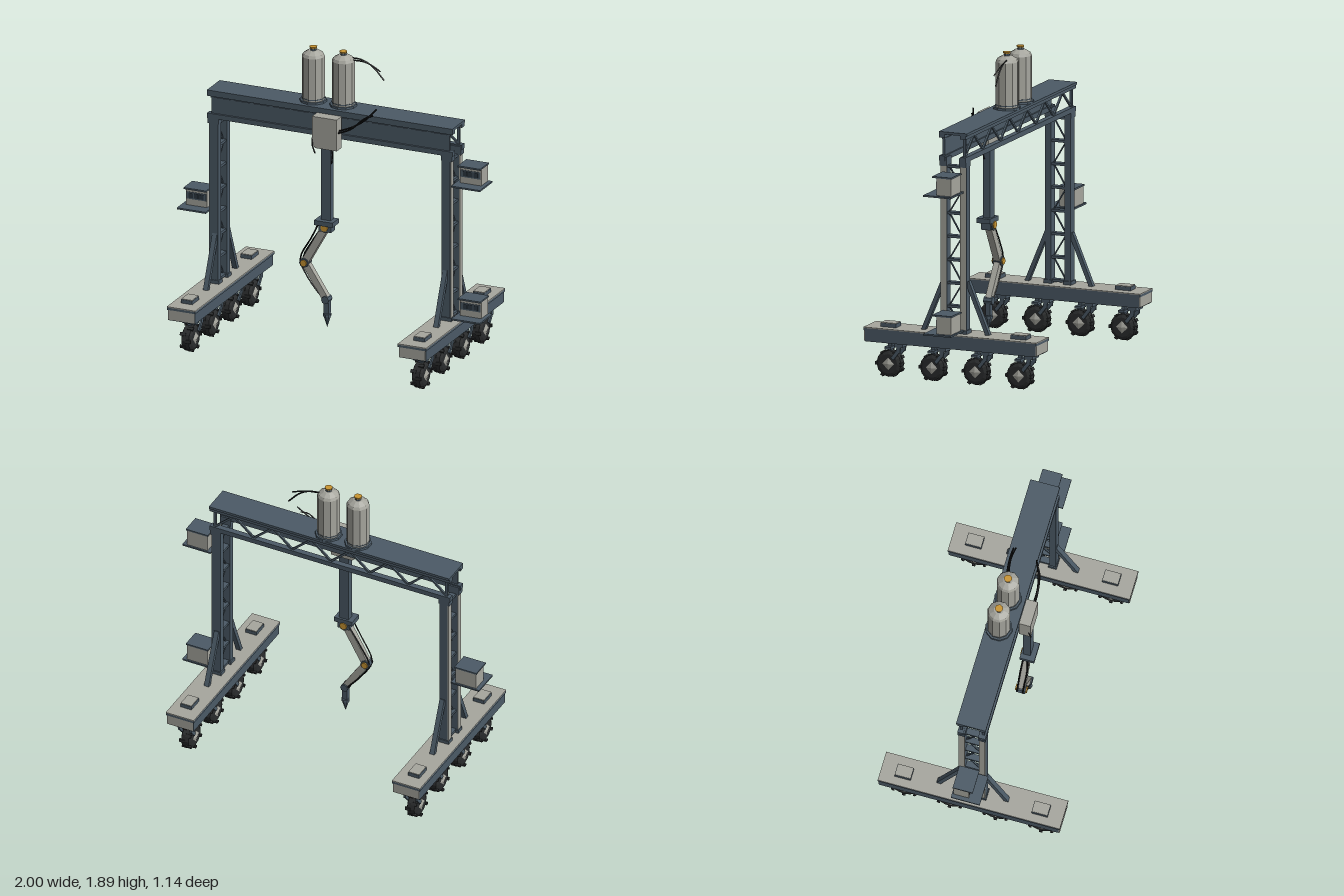
import * as THREE from 'three';

const paint = (name, color) => Object.assign(new THREE.MeshStandardMaterial({ color, flatShading: true }), { name });

export function createModel() {
  const model = new THREE.Group();
  model.name = 'gantryCrane';
  const slate = paint('slate steel', 0x4b5a66);
  const gray = paint('light gray panel', 0xa6a69e);
  const rubber = paint('dark rubber', 0x2a2c2d);
  const black = paint('black cable', 0x141516);
  const amber = paint('amber cap', 0xc99532);
  const glass = paint('dark window', 0x2c3841);

  const add = (parent, name, geo, mat, x = 0, y = 0, z = 0) => {
    const m = new THREE.Mesh(geo, mat);
    m.name = name;
    m.position.set(x, y, z);
    parent.add(m);
    return m;
  };
  // Box given by its extents on each axis
  const box = (parent, name, mat, [x0, x1], [y0, y1], [z0, z1]) =>
    add(parent, name, new THREE.BoxGeometry(Math.abs(x1 - x0), y1 - y0, z1 - z0), mat,
      (x0 + x1) / 2, (y0 + y1) / 2, (z0 + z1) / 2);
  // Straight bar between two points
  const bar = (parent, name, mat, a, b, w, d = w) => {
    const p = new THREE.Vector3(...a), q = new THREE.Vector3(...b);
    const dir = q.clone().sub(p);
    const mid = p.clone().add(q).multiplyScalar(0.5);
    const m = add(parent, name, new THREE.BoxGeometry(w, dir.length(), d), mat, mid.x, mid.y, mid.z);
    m.quaternion.setFromUnitVectors(new THREE.Vector3(0, 1, 0), dir.normalize());
    return m;
  };
  const cable = (parent, name, pts, r = 0.005) => add(parent, name, new THREE.TubeGeometry(
    new THREE.CatmullRomCurve3(pts.map(p => new THREE.Vector3(...p))), 14, r, 4), black);
  const group = (name, x = 0, y = 0, z = 0) => {
    const g = new THREE.Group();
    g.name = name;
    g.position.set(x, y, z);
    model.add(g);
    return g;
  };

  // Wheel: bevelled tyre, tread lugs and pyramid hubs, axle along x
  const tyreGeo = new THREE.LatheGeometry([[0, -0.034], [0.06, -0.034], [0.081, -0.024],
    [0.081, 0.024], [0.06, 0.034], [0, 0.034]].map(p => new THREE.Vector2(...p)), 12).rotateZ(-Math.PI / 2);
  const hubGeo = new THREE.ConeGeometry(0.046, 0.012, 4);
  const addWheel = (x, z) => {
    const w = group('wheel', x, 0.086, z);
    add(w, 'tyre', tyreGeo, rubber);
    for (let i = 0; i < 12; i++) {
      const a = (i / 12) * Math.PI * 2;
      const lug = add(w, 'treadLug', new THREE.BoxGeometry(0.036, 0.012, 0.02), rubber,
        i % 2 ? 0.019 : -0.019, Math.cos(a) * 0.079, Math.sin(a) * 0.079);
      lug.rotation.x = a;
    }
    for (const s of [-1, 1]) {
      add(w, 'hub', hubGeo, gray, s * 0.038).rotation.z = -s * Math.PI / 2;
    }
    // Suspension: short post over the wheel and a trailing bent arm
    box(w, 'suspensionPost', slate, [-0.012, 0.012], [0.07, 0.145], [-0.012, 0.012]);
    box(w, 'suspensionYoke', slate, [-0.045, 0.045], [0.09, 0.106], [-0.02, 0.02]);
    for (const s of [-0.04, 0.04]) {
      bar(w, 'suspensionArm', slate, [s, 0.035, -0.03], [s, 0.085, -0.07], 0.012, 0.022);
      bar(w, 'suspensionArm', slate, [s, 0.075, -0.068], [s, 0.125, -0.075], 0.012, 0.026);
    }
    box(w, 'suspensionMount', slate, [-0.05, 0.05], [0.11, 0.142], [-0.1, -0.045]);
  };

  // Both towers, mirrored across x = 0
  for (const s of [1, -1]) {
    const t = group(s > 0 ? 'leftTower' : 'rightTower');
    const X = (a, b) => [s * a, s * b];
    box(t, 'baseBeam', slate, X(0.673, 0.851), [0.225, 0.295], [-0.56, 0.56]);
    box(t, 'baseRim', slate, X(0.668, 0.856), [0.293, 0.307], [-0.568, 0.568]);
    box(t, 'baseDeck', gray, X(0.668, 0.856), [0.307, 0.313], [-0.568, 0.568]);
    for (const e of [-1, 1]) {
      box(t, 'baseEndPanel', gray, X(0.675, 0.849), [0.23, 0.293], [e * 0.563 - 0.003, e * 0.563 + 0.003]);
      const z = e * 0.427;
      box(t, 'deckHatch', slate, X(0.73, 0.805), [0.313, 0.336], [z - 0.05, z + 0.05]);
      box(t, 'deckHatchLid', gray, X(0.732, 0.803), [0.336, 0.34], [z - 0.048, z + 0.048]);
      // Twin columns with pale outer faces
      const c = e > 0 ? 0.067 : -0.061;
      box(t, 'column', slate, X(0.738, 0.794), [0.31, 1.37], [c - 0.02, c + 0.02]);
      box(t, 'columnOuterFace', gray, X(0.794, 0.799), [0.33, 1.335], [c - 0.019, c + 0.019]);
      box(t, 'columnFoot', slate, X(0.73, 0.803), [0.313, 0.335], [c - 0.026, c + 0.026]);
      box(t, 'columnCap', slate, X(0.735, 0.806), [1.335, 1.39], [c - 0.023, c + 0.023]);
      bar(t, 'brace', slate, [s * 0.76, 0.31, e * 0.212], [s * 0.76, 0.63, e * 0.078], 0.031, 0.026);
    }
    // Ladder rungs with zigzag bracing
    for (let i = 0; i < 8; i++) {
      const y = 0.33 + i * 0.143;
      box(t, 'rung', slate, X(0.745, 0.785), [y - 0.008, y + 0.008], [-0.045, 0.05]);
      const d = i % 2 ? 1 : -1;
      if (i < 7) bar(t, 'lacing', slate, [s * 0.765, y, d * 0.043], [s * 0.765, y + 0.143, -d * 0.043], 0.01, 0.007);
    }
    for (let i = 0; i < 4; i++) addWheel(s * 0.761, 0.432 - i * 0.285);
  }

  // Overhead girder: top plate, rails, solid front web and open rear truss
  const beam = group('girder');
  box(beam, 'topPlate', slate, [-0.81, 0.81], [1.53, 1.546], [-0.092, 0.092]);
  for (const z of [0.072, -0.066]) {
    box(beam, 'topRail', slate, [-0.81, 0.81], [1.508, 1.532], [z - 0.018, z + 0.018]);
    box(beam, 'lowerRail', slate, [-0.81, 0.81], [1.367, 1.398], [z - 0.018, z + 0.018]);
  }
  box(beam, 'frontWeb', slate, [-0.785, 0.785], [1.395, 1.5], [0.064, 0.078]);
  for (let i = 0; i <= 12; i++) {
    const x = -0.78 + i * 0.13;
    box(beam, 'webTab', slate, [x - 0.012, x + 0.012], [1.495, 1.512], [0.064, 0.078]);
    if (i < 12) {
      const up = i % 2;
      bar(beam, 'trussDiagonal', slate, [x, up ? 1.51 : 1.395, -0.066], [x + 0.13, up ? 1.395 : 1.51, -0.066], 0.012);
    }
  }
  for (const x of [-0.78, 0.78]) box(beam, 'trussEndPost', slate, [x - 0.008, x + 0.008], [1.39, 1.515], [-0.074, -0.058]);

  // Control cabins on the outside of the towers
  for (const [s, y] of [[1, 1.18], [1, 0.33], [-1, 0.758]]) {
    const c = group('cabin', s * 0.905, y, 0);
    box(c, 'cabinPlatform', slate, [-0.095, 0.095], [0, 0.01], [-0.07, 0.11]);
    box(c, 'cabinBody', gray, [-0.07, 0.07], [0.01, 0.116], [-0.06, 0.035]);
    box(c, 'cabinRoof', slate, [-0.074, 0.074], [0.116, 0.126], [-0.065, 0.06]);
    box(c, 'cabinBand', slate, [-0.066, 0.066], [0.05, 0.095], [0.035, 0.038]);
    for (const x of [-0.035, 0, 0.035]) box(c, 'cabinWindow', glass, [x - 0.014, x + 0.014], [0.058, 0.088], [0.038, 0.041]);
  }

  // Twin storage tanks
  const tankProfile = [[0, 0], [0.07, 0], [0.07, 0.275], [0.062, 0.292], [0.03, 0.312], [0, 0.312]];
  for (const x of [-0.155, 0.043]) {
    const t = group('tank', x, 1.558, -0.012);
    add(t, 'tankFlange', new THREE.CylinderGeometry(0.082, 0.084, 0.014, 10), slate, 0, -0.007, 0);
    add(t, 'tankBody', new THREE.LatheGeometry(tankProfile.map(p => new THREE.Vector2(...p)), 10), gray);
    add(t, 'tankSeam', new THREE.CylinderGeometry(0.072, 0.072, 0.006, 10), slate, 0, 0.012, 0);
    add(t, 'tankNeck', new THREE.CylinderGeometry(0.017, 0.02, 0.02, 8), slate, 0, 0.318, 0);
    add(t, 'tankCap', new THREE.CylinderGeometry(0.025, 0.022, 0.01, 8), amber, 0, 0.33, 0);
  }
  cable(model, 'tankCable', [[0.07, 1.85, -0.03], [0.15, 1.845, -0.04], [0.22, 1.81, -0.045], [0.295, 1.73, -0.05]]);
  cable(model, 'tankCable', [[0.08, 1.84, -0.02], [0.17, 1.835, -0.035], [0.23, 1.815, -0.035], [0.28, 1.79, -0.03]]);

  // Trolley housing with one clipped lower corner
  const trolley = group('trolley');
  const outline = new THREE.Shape([[-0.083, 1.335], [-0.06, 1.315], [0.08, 1.315], [0.08, 1.515], [-0.083, 1.515]]
    .map(p => new THREE.Vector2(...p)));
  add(trolley, 'trolleyHousing', new THREE.ExtrudeGeometry(outline, { depth: 0.072, bevelEnabled: false }), gray, 0, 0, 0.092);
  box(trolley, 'trolleyHanger', slate, [-0.07, 0.07], [1.37, 1.5], [0.07, 0.095]);
  cable(trolley, 'trolleyCable', [[0.07, 1.43, 0.13], [0.17, 1.475, 0.135], [0.24, 1.52, 0.12], [0.31, 1.595, 0.09]]);
  cable(trolley, 'trolleyCable', [[0.07, 1.42, 0.14], [0.16, 1.46, 0.14], [0.25, 1.54, 0.125], [0.29, 1.555, 0.1]]);
  cable(trolley, 'hangingCable', [[-0.08, 1.41, 0.15], [-0.082, 1.34, 0.165], [-0.065, 1.28, 0.16]]);
  cable(trolley, 'hangingCable', [[0.04, 1.34, 0.15], [0.045, 1.28, 0.15], [0.035, 1.22, 0.14]], 0.004);

  // Manipulator arm: mast, shoulder, elbow, wrist and pointed tool
  const arm = group('arm', 0, 0, 0.126);
  box(arm, 'mast', slate, [-0.032, 0.032], [0.85, 1.33], [-0.023, 0.023]);
  box(arm, 'shoulderCollar', slate, [-0.063, 0.06], [0.828, 0.858], [-0.036, 0.055]);
  box(arm, 'shoulderBlock', slate, [-0.04, 0.04], [0.785, 0.83], [-0.028, 0.035]);
  const joint = (name, x, y, r, d) => {
    add(arm, name, new THREE.CylinderGeometry(r, r, d, 8), slate, x, y, 0).rotation.x = Math.PI / 2;
    add(arm, name + 'Cap', new THREE.CylinderGeometry(r * 0.7, r * 0.7, d + 0.016, 8), amber, x, y, 0).rotation.x = Math.PI / 2;
  };
  joint('shoulderJoint', -0.003, 0.812, 0.034, 0.068);
  joint('elbowJoint', -0.143, 0.562, 0.03, 0.056);
  bar(arm, 'upperArm', gray, [-0.01, 0.8, 0], [-0.14, 0.568, 0], 0.046, 0.042);
  bar(arm, 'forearm', gray, [-0.138, 0.555, 0], [-0.008, 0.355, 0], 0.042, 0.038);
  add(arm, 'wristJoint', new THREE.CylinderGeometry(0.025, 0.025, 0.056, 8), slate, -0.003, 0.345, 0).rotation.x = Math.PI / 2;
  box(arm, 'wristBlock', slate, [-0.018, 0.016], [0.255, 0.335], [-0.016, 0.016]);
  add(arm, 'toolCollar', new THREE.CylinderGeometry(0.026, 0.026, 0.014, 8), slate, 0, 0.245, 0);
  add(arm, 'toolTip', new THREE.ConeGeometry(0.024, 0.075, 8).rotateX(Math.PI), slate, 0, 0.203, 0);
  cable(arm, 'armCable', [[-0.05, 0.83, 0.01], [-0.09, 0.74, 0.02], [-0.172, 0.58, 0.015], [-0.14, 0.5, 0.015], [-0.08, 0.42, 0.02], [-0.015, 0.34, 0.01]]);
  cable(arm, 'armCable', [[-0.03, 0.81, -0.02], [-0.11, 0.69, -0.022], [-0.168, 0.57, -0.02], [-0.12, 0.475, -0.02], [-0.02, 0.35, -0.02]]);

  return model;
}
